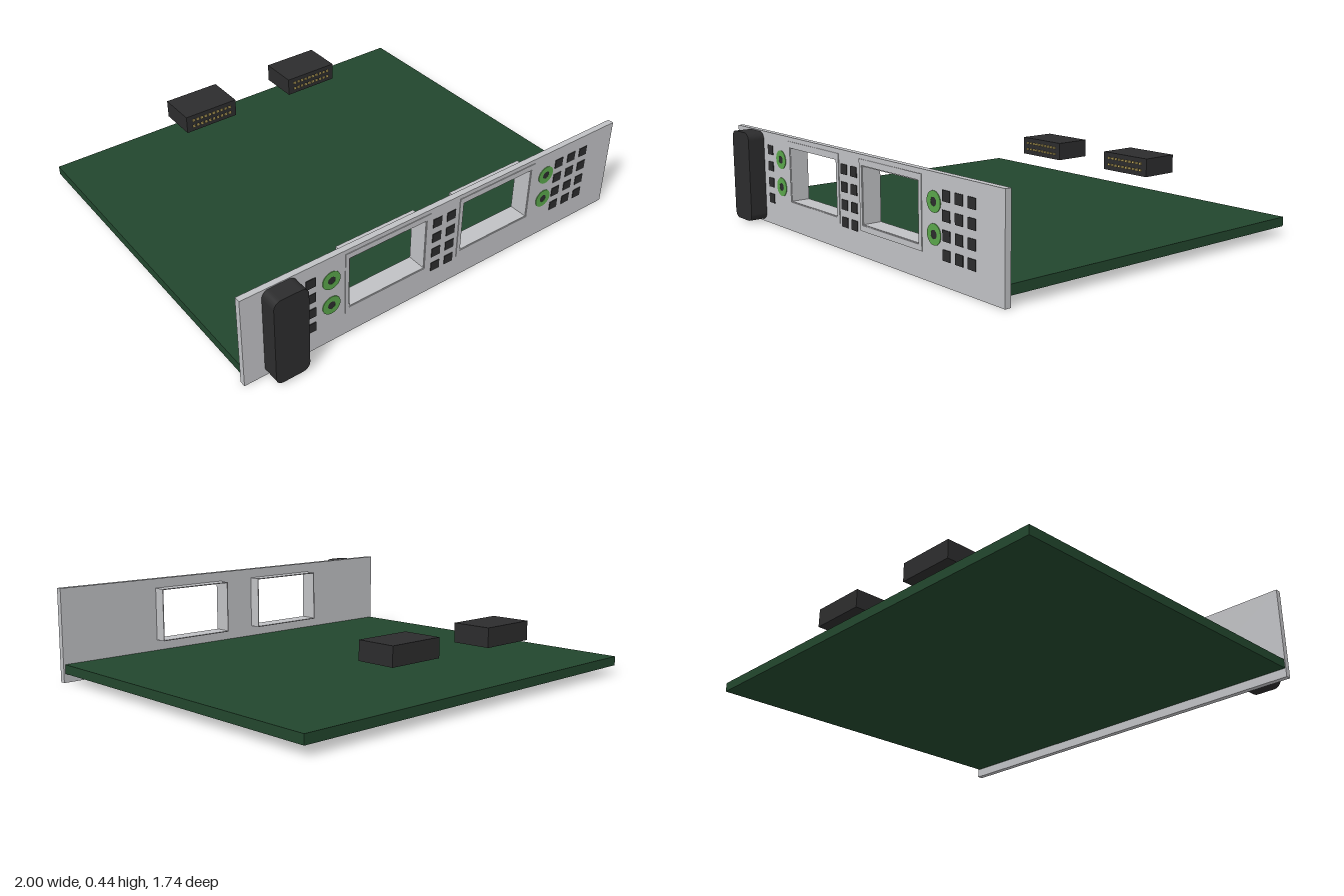
import * as THREE from 'three';

const mat = (name, color, side = THREE.FrontSide) => {
  const m = new THREE.MeshStandardMaterial({ color, side });
  m.name = name;
  return m;
};

export function createModel() {
  const metal = mat('panelGrey', 0xc0c1c4);
  const black = mat('blackPlastic', 0x2c2c2d);
  const board = mat('boardGreen', 0x22462d);
  const green = mat('ringGreen', 0x5aa64b);
  const gold = mat('pinGold', 0xc9b266);

  const root = new THREE.Group();
  root.name = 'plugInModule';

  const add = (name, geometry, material, parent = root) => {
    const mesh = new THREE.Mesh(geometry, material);
    mesh.name = name;
    parent.add(mesh);
    return mesh;
  };
  // Box given by its minimum and maximum on each axis
  const box = (name, material, [x0, x1], [y0, y1], [z0, z1], parent) =>
    add(name, new THREE.BoxGeometry(x1 - x0, y1 - y0, z1 - z0), material, parent)
      .position.set((x0 + x1) / 2, (y0 + y1) / 2, (z0 + z1) / 2);
  const rect = (Type, x0, x1, y0, y1) => new Type([
    new THREE.Vector2(x0, y0), new THREE.Vector2(x1, y0),
    new THREE.Vector2(x1, y1), new THREE.Vector2(x0, y1),
  ]);
  // Flat shape pushed forward from z0 to z1
  const plate = (name, material, shape, z0, z1, curveSegments = 6) =>
    add(name, new THREE.ExtrudeGeometry(shape, { depth: z1 - z0, bevelEnabled: false, curveSegments }), material)
      .position.set(0, 0, z0);

  const FRONT = 0.79;
  const windows = [[-0.5, -0.105], [0.093, 0.488]];
  const [wy0, wy1] = [0.137, 0.391];

  // Circuit board
  box('circuitBoard', board, [-0.996, 0.991], [0.042, 0.085], [-0.87, 0.762]);

  // Front panel with two window openings
  const panel = rect(THREE.Shape, -1, 1, 0, 0.437);
  windows.forEach(([a, b]) => panel.holes.push(rect(THREE.Path, a, b, wy0, wy1)));
  plate('frontPanel', metal, panel, 0.762, FRONT);

  // Window bezels in front and thin sleeves behind
  windows.forEach(([a, b]) => {
    const bezel = rect(THREE.Shape, a - 0.018, b + 0.02, wy0 - 0.025, wy1 + 0.026);
    bezel.holes.push(rect(THREE.Path, a, b, wy0, wy1));
    plate('windowBezel', metal, bezel, FRONT, FRONT + 0.003);

    const sleeve = rect(THREE.Shape, a, b, wy0, wy1);
    const t = 0.004;
    sleeve.holes.push(rect(THREE.Path, a + t, b - t, wy0 + t, wy1 - t));
    plate('windowSleeve', metal, sleeve, 0.703, FRONT);
  });

  // Handle with rounded corners
  const [hx0, hx1, hy0, hy1, r] = [-0.904, -0.746, 0.01, 0.432, 0.034];
  const handle = new THREE.Shape();
  handle.absarc(hx1 - r, hy0 + r, r, -Math.PI / 2, 0);
  handle.absarc(hx1 - r, hy1 - r, r, 0, Math.PI / 2);
  handle.absarc(hx0 + r, hy1 - r, r, Math.PI / 2, Math.PI);
  handle.absarc(hx0 + r, hy0 + r, r, Math.PI, Math.PI * 1.5);
  plate('handle', black, handle, FRONT, 0.87);

  // Columns of small square ports
  for (const x of [-0.683, -0.045, 0.03, 0.663, 0.74, 0.815])
    for (const y of [0.125, 0.201, 0.278, 0.355])
      box('squarePort', black, [x - 0.023, x + 0.023], [y - 0.022, y + 0.022], [FRONT - 0.002, FRONT + 0.003]);

  // Round sockets with green rings
  for (const x of [-0.585, 0.586])
    for (const y of [0.194, 0.322]) {
      const ring = new THREE.Shape().absarc(x, y, 0.043, 0, Math.PI * 2);
      ring.holes.push(new THREE.Path().absarc(x, y, 0.018, 0, Math.PI * 2, true));
      plate('socketRing', green, ring, FRONT - 0.002, FRONT + 0.003, 16);
      const core = add('socketCore', new THREE.CylinderGeometry(0.018, 0.018, 0.004, 24), black);
      core.rotation.x = Math.PI / 2;
      core.position.set(x, y, FRONT);
    }

  // Rear connectors with two rows of pins
  for (const cx of [-0.303, 0.29]) {
    const connector = new THREE.Group();
    connector.name = 'rearConnector';
    root.add(connector);
    box('connectorBody', black, [cx - 0.138, cx + 0.138], [0.22, 0.307], [-0.76, -0.573], connector);
    for (let i = 0; i < 10; i++)
      for (const y of [0.248, 0.28]) {
        const x = cx + (i - 4.5) * 0.0225;
        box('pin', gold, [x - 0.006, x + 0.006], [y - 0.005, y + 0.005], [-0.575, -0.566], connector);
      }
  }

  return root;
}
